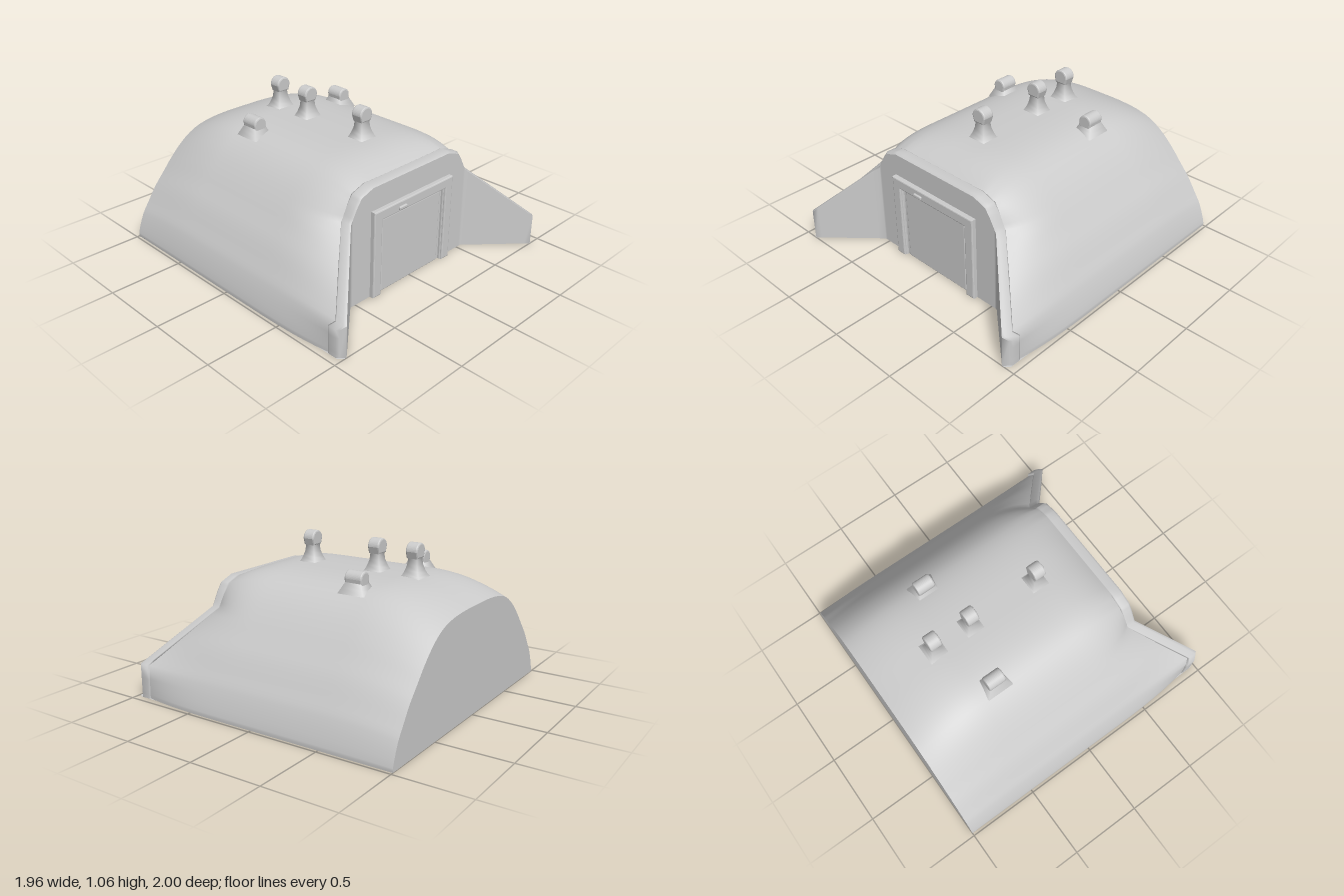
import * as THREE from 'three';
import { RoundedBoxGeometry } from 'three/addons/geometries/RoundedBoxGeometry.js';

const mat = new THREE.MeshStandardMaterial({ color: 0xcccccc, roughness: 0.9, side: THREE.DoubleSide });

// Half outlines from the outer foot to the crown: earth mound and front wall
const MOUND = [[.98, 0], [.98, .03], [.93, .19], [.88, .28], [.81, .4], [.735, .5], [.66, .6],
  [.56, .71], [.45, .79], [.33, .83], [.17, .848], [0, .85]];
const WALL = [[.95, 0], [.95, .03], [.95, .19], [.86, .28], [.76, .38], [.66, .48], [.55, .59],
  [.5, .68], [.46, .735], [.36, .77], [.17, .77], [0, .77]];
const moundCurve = new THREE.CatmullRomCurve3(MOUND.map(([x, y]) => new THREE.Vector3(x, y, 0)));
const COLS = (MOUND.length - 1) * 6;

// u runs from -1 (right foot) over the crown to 1 (left foot)
function moundAt(u) {
  const p = moundCurve.getPoint(1 - Math.abs(u));
  return [p.x * Math.sign(u), Math.max(0, p.y)];
}
function wallAt(u) {
  const f = (1 - Math.abs(u)) * (WALL.length - 1);
  const i = Math.min(Math.floor(f + 1e-6), WALL.length - 2), k = f - i;
  const mix = (c) => WALL[i][c] + (WALL[i + 1][c] - WALL[i][c]) * k;
  return [mix(0) * Math.sign(u), mix(1)];
}
// Plan of the front wall: flat in the middle, wings splayed forward
function wallZ(x) {
  const a = Math.abs(x);
  if (a < .55) return .67;
  return a < .92 ? .67 + (a - .55) * .33 / .37 : 1 - (a - .92);
}

// Surface from a rule f(u, v), u in -1..1 and v in 0..1
function surface(rows, f) {
  const pos = [], idx = [], w = COLS + 1;
  for (let j = 0; j <= rows; j++)
    for (let i = 0; i <= COLS; i++) pos.push(...f(i / COLS * 2 - 1, j / rows));
  for (let j = 0; j < rows; j++)
    for (let i = 0; i < COLS; i++) {
      const a = j * w + i;
      idx.push(a, a + 1, a + w + 1, a, a + w + 1, a + w);
    }
  const g = new THREE.BufferGeometry();
  g.setAttribute('position', new THREE.Float32BufferAttribute(pos, 3));
  g.setIndex(idx);
  g.computeVertexNormals();
  return g;
}

// Mound: sags towards the back, blends into the wall outline at the front
function moundPoint(u, v) {
  const [mx, my] = moundAt(u), [wx, wy] = wallAt(u);
  const zf = wallZ(wx) - .05, z = zf + (-1 - zf) * v;
  const front = Math.max(0, (z - .2) / (zf - .2)) ** 3;
  const back = Math.max(0, (-z - .5) / .5) ** 2;
  return [mx + (wx * .985 - mx) * front, (my + (wy * .98 - my) * front) * (1 - .15 * back), z];
}

// Front wall edge as rings of [scale, z offset], from back lip to front bevel
const RINGS = [[.95, -.08], [.995, -.08], [1, -.07], [1, -.015], [.985, 0]];
function wallEdge(u, v) {
  const [s, dz] = RINGS[Math.round((1 - v) * (RINGS.length - 1))];
  const [x, y] = wallAt(u);
  return [x * s, y * s, wallZ(x) + dz];
}

function createModel() {
  const model = new THREE.Group();
  model.name = 'bunker';
  const add = (name, geo, parent = model, x = 0, y = 0, z = 0) => {
    const m = new THREE.Mesh(geo, mat);
    m.name = name;
    m.position.set(x, y, z);
    parent.add(m);
    return m;
  };

  add('mound', surface(48, moundPoint));
  add('backWall', surface(1, (u, v) => {
    const [x, y] = moundPoint(u, 1);
    return [x, y * (1 - v), -1];
  }));
  add('floor', surface(1, (u, v) => {
    const [mx] = moundAt(u), [wx] = wallAt(u);
    return v ? [wx, 0, wallZ(wx)] : [mx, 0, -1];
  }));
  add('frontWallEdge', surface(RINGS.length - 1, wallEdge));
  add('frontWall', surface(1, (u, v) => {
    const [x, y, z] = wallEdge(u, 0);
    return [x, y * v, z];
  }));

  // Door frame: two stepped surrounds with the door panel set inside
  const frame = (w, h, iw, ih, depth) => {
    const s = new THREE.Shape([[-w, 0], [-iw, 0], [-iw, ih], [iw, ih], [iw, 0], [w, 0], [w, h], [-w, h]]
      .map(([x, y]) => new THREE.Vector2(x, y)));
    return new THREE.ExtrudeGeometry(s, { depth, bevelEnabled: true, bevelSize: .008,
      bevelOffset: -.008, bevelThickness: .008, bevelSegments: 2 });
  };
  const door = new THREE.Group();
  door.name = 'doorway';
  model.add(door);
  add('outerFrame', frame(.37, .605, .3, .535, .035), door, 0, 0, .66);
  add('innerFrame', frame(.325, .56, .295, .53, .022), door, 0, 0, .66);
  add('doorPanel', new RoundedBoxGeometry(.55, .52, .03, 2, .008), door, 0, .26, .662);
  add('doorBracket', new RoundedBoxGeometry(.07, .025, .03, 2, .008), door, -.12, .56, .7);

  // Square flared neck from [half width, y] steps
  const neck = (steps) => {
    const g = new THREE.LatheGeometry(steps.map(([r, y]) => new THREE.Vector2(r * Math.SQRT2, y)), 4);
    return g.rotateY(Math.PI / 4);
  };
  // Cap rounded across x, extruded along z
  const cap = (r, drop, len) => {
    const s = new THREE.Shape();
    s.moveTo(-r * .75, -drop);
    s.lineTo(r * .75, -drop);
    s.lineTo(r, 0);
    s.absarc(0, 0, r, 0, Math.PI, false);
    s.closePath();
    const b = .01;
    return new THREE.ExtrudeGeometry(s, { depth: len - 2 * b, bevelEnabled: true, bevelSize: b,
      bevelOffset: -b, bevelThickness: b, bevelSegments: 2, curveSegments: 10 }).translate(0, 0, b - len / 2);
  };

  // Tall vents along the ridge
  for (const z of [.23, -.285, -.565]) {
    const vent = new THREE.Group();
    vent.name = 'tallVent';
    vent.position.z = z;
    model.add(vent);
    add('ventNeck', neck([[.075, .835], [.058, .855], [.046, .885], [.036, .92], [.032, .96], [.036, .99]]), vent)
      .scale.x = 1.08;
    add('ventCap', cap(.055, .045, .085), vent, 0, 1.007, 0);
  }

  // Short vents on both shoulders
  for (const side of [-1, 1]) {
    const vent = new THREE.Group();
    vent.name = 'shortVent';
    vent.position.set(side * .39, 0, -.38);
    model.add(vent);
    add('ventBase', neck([[.075, .79], [.06, .825], [.045, .86]]), vent).scale.z = 1.25;
    add('ventCap', cap(.048, .09, .125), vent, 0, .883, 0);
  }
  return model;
}

export { createModel };
